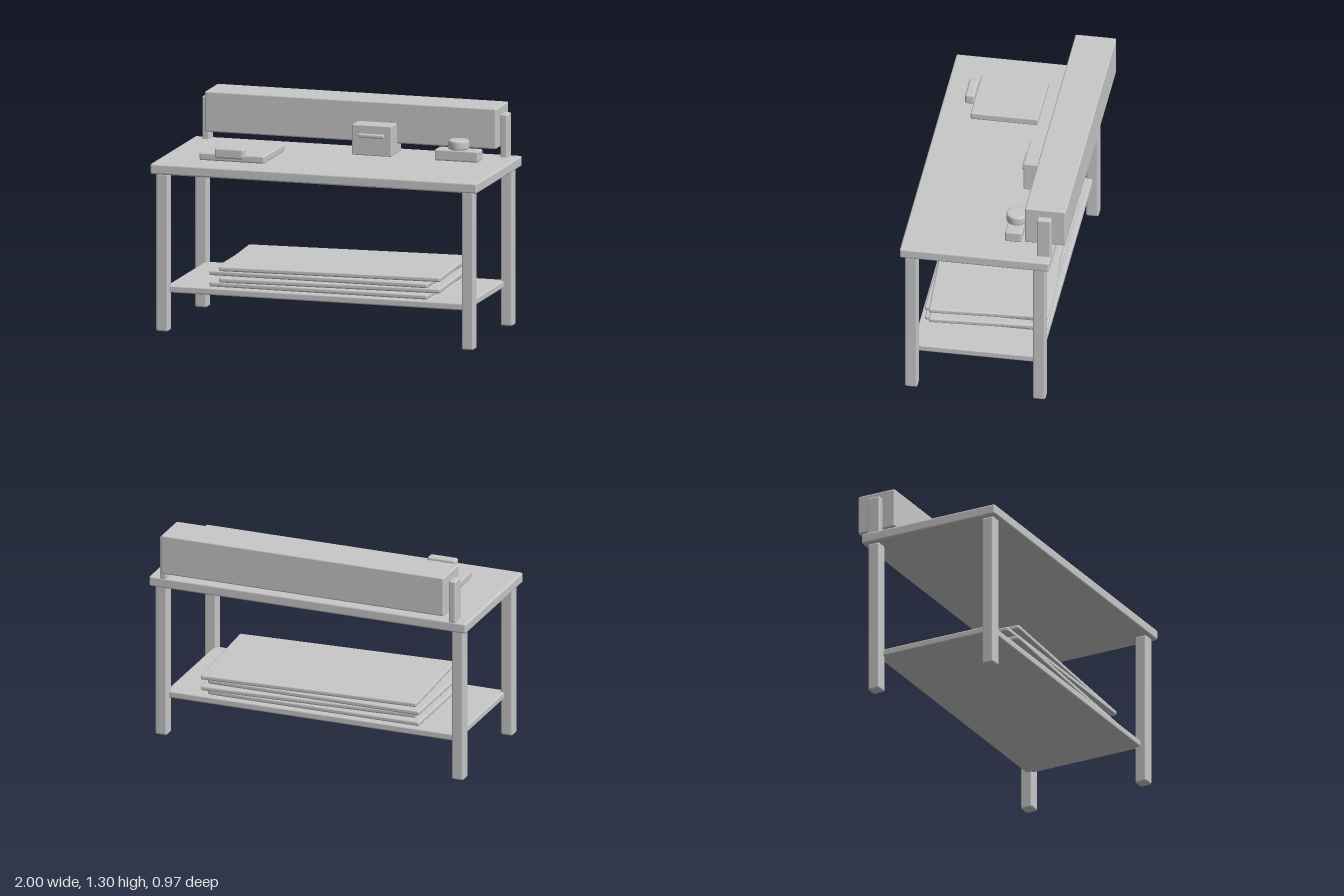
import * as THREE from 'three';
import { RoundedBoxGeometry } from 'three/addons/geometries/RoundedBoxGeometry.js';

const grey = new THREE.MeshStandardMaterial({ color: 0xc8c8c8 });
grey.name = 'plain grey';

export function createModel() {
  const model = new THREE.Group();
  model.name = 'workbench';

  // Soft-edged box given by its extents along each axis
  function block(name, [x0, x1], [y0, y1], [z0, z1], radius = 0.01) {
    const geometry = new RoundedBoxGeometry(x1 - x0, y1 - y0, z1 - z0, 2, radius);
    const mesh = new THREE.Mesh(geometry, grey);
    mesh.name = name;
    mesh.position.set((x0 + x1) / 2, (y0 + y1) / 2, (z0 + z1) / 2);
    model.add(mesh);
    return mesh;
  }

  // Table frame
  block('tabletop', [-1, 1], [0.937, 1], [-0.403, 0.483], 0.012);
  block('shelf', [-0.92, 0.92], [0.226, 0.269], [-0.34, 0.42]);
  for (const side of [-1, 1]) {
    const name = side > 0 ? 'left' : 'right';
    const legX = [side * 0.935 - 0.037, side * 0.935 + 0.037];
    block(name + 'FrontLeg', legX, [0, 0.94], [0.382, 0.458], 0.012);
    block(name + 'BackLeg', legX, [0, 0.94], [-0.376, -0.3], 0.012);
    // Posts carrying the long beam
    block(name + 'Post', [side * 0.912 - 0.022, side * 0.912 + 0.022], [0.99, 1.256], [-0.402, -0.318]);
  }
  block('beam', [-0.892, 0.892], [1.06, 1.302], [-0.483, -0.24]);

  // Stack of sheets, every second one shifted and turned
  for (let i = 0; i < 4; i++) {
    const y = 0.271 + i * 0.0338;
    const sheet = block('sheet' + (i + 1), [-0.667, 0.667], [y, y + 0.029], [-0.31, 0.39]);
    if (i % 2) {
      sheet.position.x = 0.051;
      sheet.rotation.y = 0.053;
    }
  }

  // Flat tray with its grip
  block('tray', [-0.758, -0.36], [1, 1.045], [-0.107, 0.293]);
  block('trayGrip', [-0.65, -0.472], [1.026, 1.09], [0.288, 0.345], 0.014);

  // Small box with a slim bar on its front
  block('box', [0.044, 0.284], [1, 1.181], [-0.33, -0.13], 0.006);
  block('boxBar', [0.084, 0.242], [1.107, 1.13], [-0.14, -0.112], 0.008);

  // Control base with a round knob
  block('controlBase', [0.555, 0.82], [1, 1.067], [-0.21, -0.11]);
  const knobProfile = [
    [0, 0], [0.052, 0], [0.059, 0.003], [0.062, 0.01], [0.062, 0.045],
    [0.059, 0.053], [0.052, 0.056], [0.048, 0.056], [0, 0.056],
  ].map(([r, y]) => new THREE.Vector2(r, y));
  const knob = new THREE.Mesh(new THREE.LatheGeometry(knobProfile, 40), grey);
  knob.name = 'knob';
  knob.position.set(0.688, 1.067, -0.16);
  model.add(knob);

  return model;
}
